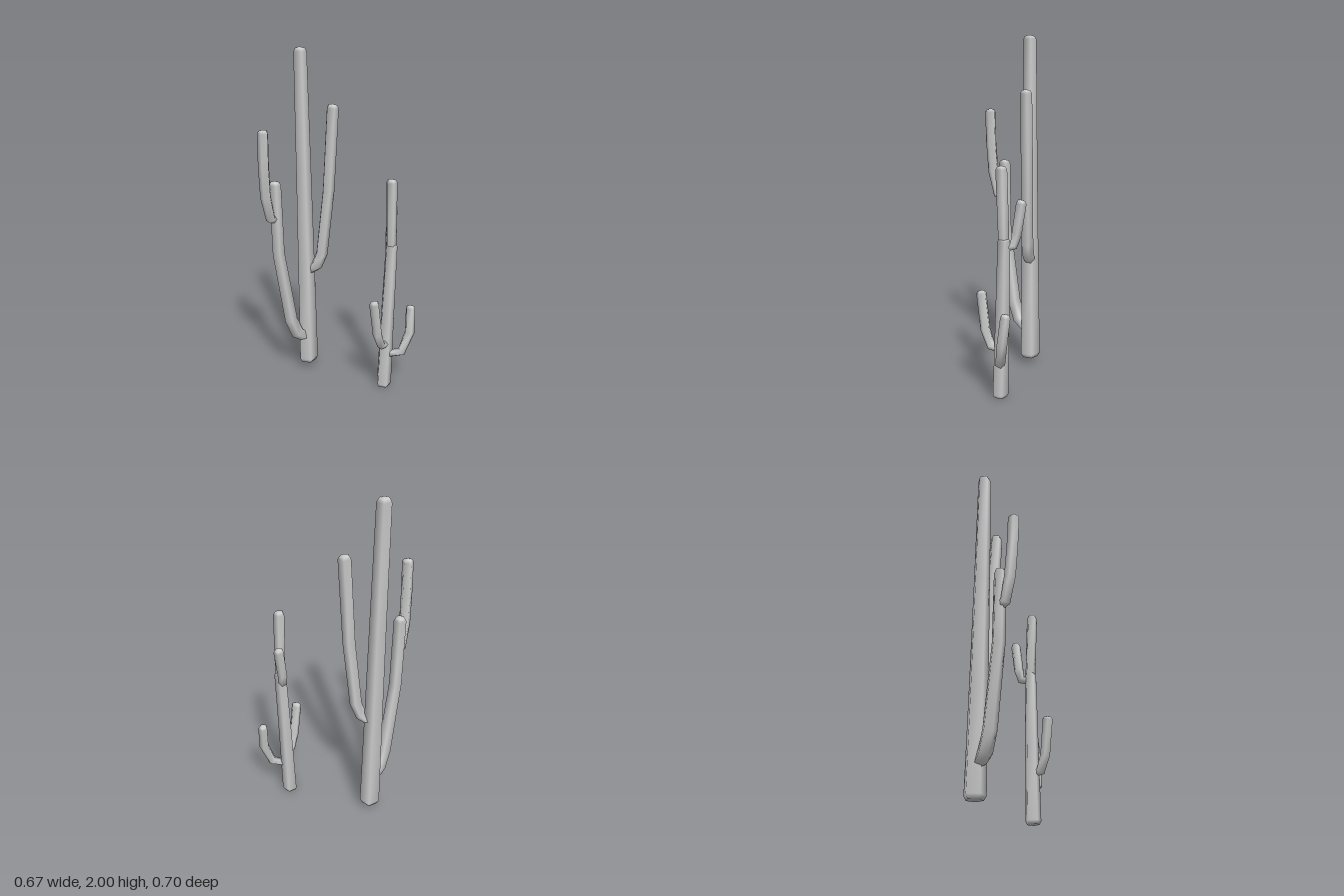
import * as THREE from 'three';

const SIDES = 5;
const material = new THREE.MeshStandardMaterial({ color: 0xcccccc });

// Five-sided smooth limb through points [x, y, z, radius], with a domed tip and a blunt chamfered foot.
function limb(name, points, twist = 0) {
  const centres = points.map(p => new THREE.Vector3(p[0], p[1], p[2]));
  const radii = points.map(p => p[3]);
  const last = centres.length - 1;
  const dirs = centres.map((c, i) => {
    const d = new THREE.Vector3();
    if (i > 0) d.add(c.clone().sub(centres[i - 1]).normalize());
    if (i < last) d.add(centres[i + 1].clone().sub(c).normalize());
    return d.normalize();
  });

  // Carry the section's facing from the tip down to the foot so it never twists
  const facing = [];
  let u = new THREE.Vector3(Math.sin(twist), 0, Math.cos(twist));
  for (let i = last; i >= 0; i--) {
    if (i < last) {
      u = u.clone().applyQuaternion(new THREE.Quaternion().setFromUnitVectors(dirs[i + 1], dirs[i]));
    }
    u.addScaledVector(dirs[i], -u.dot(dirs[i])).normalize();
    facing[i] = u;
  }

  const position = [], index = [];
  let rings = 0;
  const ring = (i, along, scale) => {
    const centre = centres[i].clone().addScaledVector(dirs[i], along * radii[i]);
    const v = dirs[i].clone().cross(facing[i]);
    for (let j = 0; j < SIDES; j++) {
      const a = j / SIDES * Math.PI * 2, r = radii[i] * scale;
      const p = centre.clone().addScaledVector(facing[i], Math.cos(a) * r).addScaledVector(v, Math.sin(a) * r);
      position.push(p.x, p.y, p.z);
    }
    rings++;
  };
  ring(0, 0, 0.78);
  ring(0, 0.4, 1);
  for (let i = 1; i < last; i++) ring(i, 0, 1);
  ring(last, -0.65, 1);
  ring(last, -0.2, 0.75);

  for (let i = 0; i < rings - 1; i++) {
    for (let j = 0; j < SIDES; j++) {
      const a = i * SIDES + j, b = i * SIDES + (j + 1) % SIDES;
      index.push(a, b, b + SIDES, a, b + SIDES, a + SIDES);
    }
  }
  // Tip and foot caps
  const tip = rings * SIDES, foot = tip + 1, top = (rings - 1) * SIDES;
  position.push(...centres[last].toArray(), ...centres[0].toArray());
  for (let j = 0; j < SIDES; j++) {
    const k = (j + 1) % SIDES;
    index.push(top + j, top + k, tip, k, j, foot);
  }

  const geometry = new THREE.BufferGeometry();
  geometry.setAttribute('position', new THREE.Float32BufferAttribute(position, 3));
  geometry.setIndex(index);
  geometry.computeVertexNormals();
  const mesh = new THREE.Mesh(geometry, material);
  mesh.name = name;
  return mesh;
}

function plant(name, ...limbs) {
  const group = new THREE.Group();
  group.name = name;
  group.add(...limbs);
  return group;
}

export function createModel() {
  const model = new THREE.Group();
  model.name = 'cacti';

  model.add(plant('tallCactus',
    limb('tallTrunk', [
      [-0.278, 0.04, 0.016, 0.062], [-0.278, 0.6, 0.025, 0.056],
      [-0.28, 1.3, 0.035, 0.048], [-0.284, 2, 0.045, 0.041]]),
    limb('upperArm', [
      [-0.265, 0.66, 0.01, 0.03], [-0.222, 0.7, -0.015, 0.037], [-0.193, 0.78, -0.032, 0.037],
      [-0.158, 1.18, -0.058, 0.037], [-0.13, 1.69, -0.07, 0.037]]),
    limb('frontArm', [
      [-0.272, 0.22, 0.045, 0.036], [-0.272, 0.265, 0.105, 0.042], [-0.272, 0.37, 0.15, 0.041],
      [-0.272, 0.82, 0.228, 0.038], [-0.274, 1.26, 0.24, 0.037]]),
    limb('frontArmBranch', [
      [-0.268, 1.035, 0.245, 0.025], [-0.26, 1.045, 0.28, 0.031], [-0.253, 1.18, 0.312, 0.033],
      [-0.246, 1.36, 0.324, 0.033], [-0.24, 1.57, 0.327, 0.033]], Math.PI)));

  model.add(plant('shortCactus',
    limb('shortTrunk', [
      [0.205, 0, -0.203, 0.046], [0.207, 0.45, -0.218, 0.041], [0.211, 0.92, -0.235, 0.036]]),
    limb('trunkTop', [
      [0.21, 0.88, -0.234, 0.031], [0.212, 1.0, -0.23, 0.032], [0.216, 1.3, -0.219, 0.033]]),
    limb('backRightArm', [
      [0.2, 0.86, -0.24, 0.022], [0.165, 0.87, -0.262, 0.026], [0.152, 0.93, -0.272, 0.029],
      [0.145, 1.12, -0.302, 0.03]]),
    limb('backLeftArm', [
      [0.225, 0.215, -0.222, 0.022], [0.278, 0.235, -0.275, 0.028], [0.304, 0.36, -0.313, 0.03],
      [0.29, 0.53, -0.327, 0.029]]),
    limb('frontArm', [
      [0.222, 0.29, -0.205, 0.022], [0.23, 0.295, -0.158, 0.027], [0.237, 0.38, -0.121, 0.029],
      [0.238, 0.6, -0.088, 0.03]], Math.PI)));

  return model;
}
